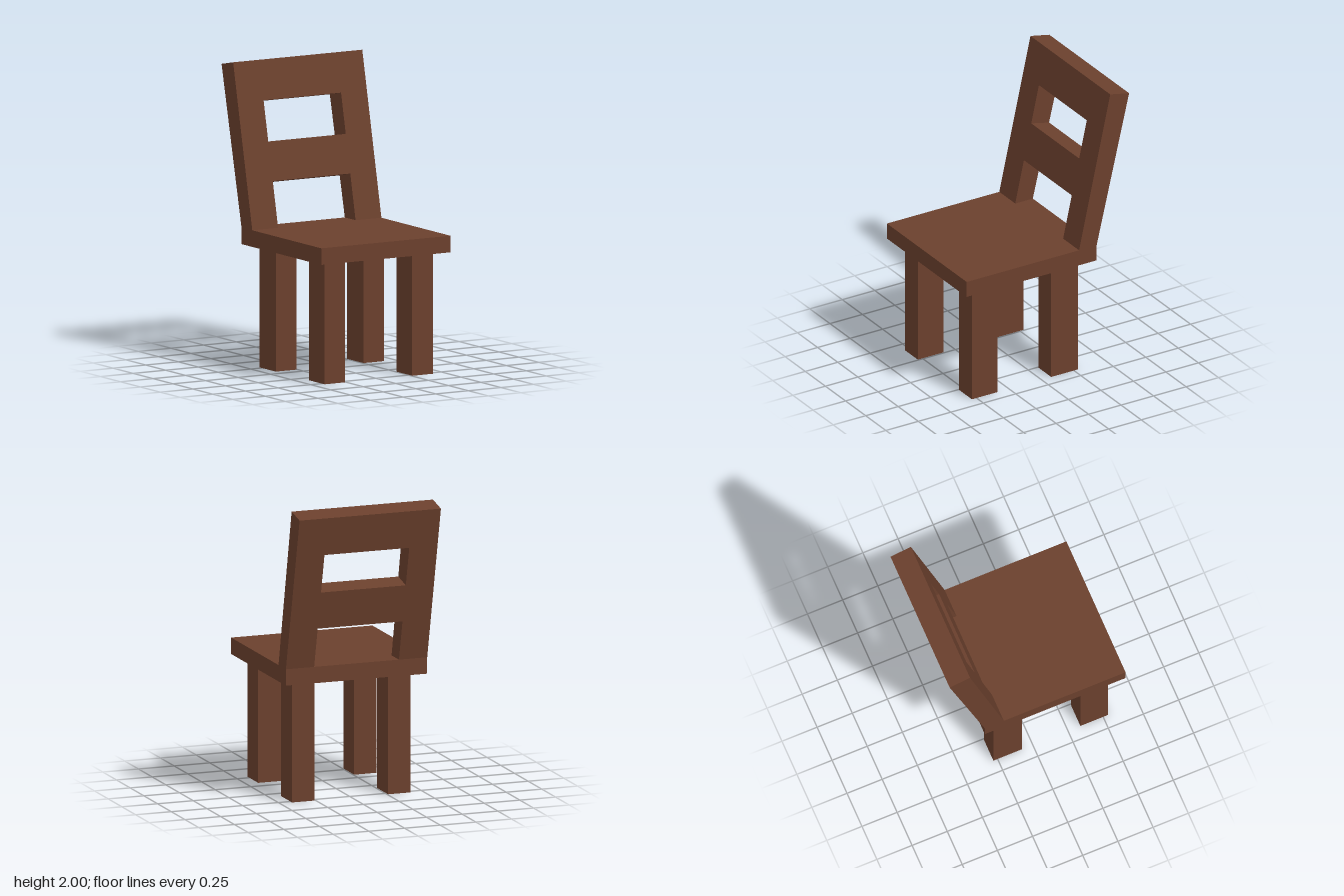
import * as THREE from 'three';

const SEAT_TOP = 0.92;

export function createModel() {
  const chair = new THREE.Group();
  chair.name = 'chair';
  const wood = new THREE.MeshStandardMaterial({ color: 0x6b402d, flatShading: true });

  // Box given by its lower and upper corners
  function addBox(name, [x0, y0, z0], [x1, y1, z1]) {
    const mesh = new THREE.Mesh(new THREE.BoxGeometry(x1 - x0, y1 - y0, z1 - z0), wood);
    mesh.position.set((x0 + x1) / 2, (y0 + y1) / 2, (z0 + z1) / 2);
    mesh.name = name;
    chair.add(mesh);
  }

  // Seat slab
  addBox('seat', [-0.495, 0.81, -0.375], [0.495, SEAT_TOP, 0.625]);

  // Four square legs
  for (const [side, x0, x1] of [['Left', 0.257, 0.415], ['Right', -0.415, -0.257]]) {
    addBox('front' + side + 'Leg', [x0, 0, 0.338], [x1, 0.81, 0.535]);
    addBox('back' + side + 'Leg', [x0, 0, -0.28], [x1, 0.81, -0.075]);
  }

  // Backrest outline: two posts, open between them above the seat, with a window higher up
  const points = (list) => list.map(([x, y]) => new THREE.Vector2(x, y));
  const outline = new THREE.Shape(points([
    [-0.495, SEAT_TOP], [-0.297, SEAT_TOP], [-0.297, 1.22], [0.297, 1.22],
    [0.297, SEAT_TOP], [0.495, SEAT_TOP], [0.495, 2], [-0.495, 2],
  ]));
  outline.holes.push(new THREE.Path(points([
    [-0.297, 1.475], [-0.297, 1.74], [0.297, 1.74], [0.297, 1.475],
  ])));
  const geometry = new THREE.ExtrudeGeometry(outline, { depth: 1, bevelEnabled: false });

  // Lean the backrest: its rear face sits slightly lower, except where it meets the seat
  const pos = geometry.attributes.position;
  for (let i = 0; i < pos.count; i++) {
    const y = pos.getY(i);
    if (pos.getZ(i) > 0.5) {
      pos.setZ(i, -0.24 - (y - SEAT_TOP) * 0.222);
    } else {
      const rearY = y > SEAT_TOP + 0.01 ? y - 0.03 : y;
      pos.setY(i, rearY);
      pos.setZ(i, -0.375 - (rearY - SEAT_TOP) * 0.238);
    }
  }
  geometry.computeVertexNormals();
  const backrest = new THREE.Mesh(geometry, wood);
  backrest.name = 'backrest';
  chair.add(backrest);

  return chair;
}
